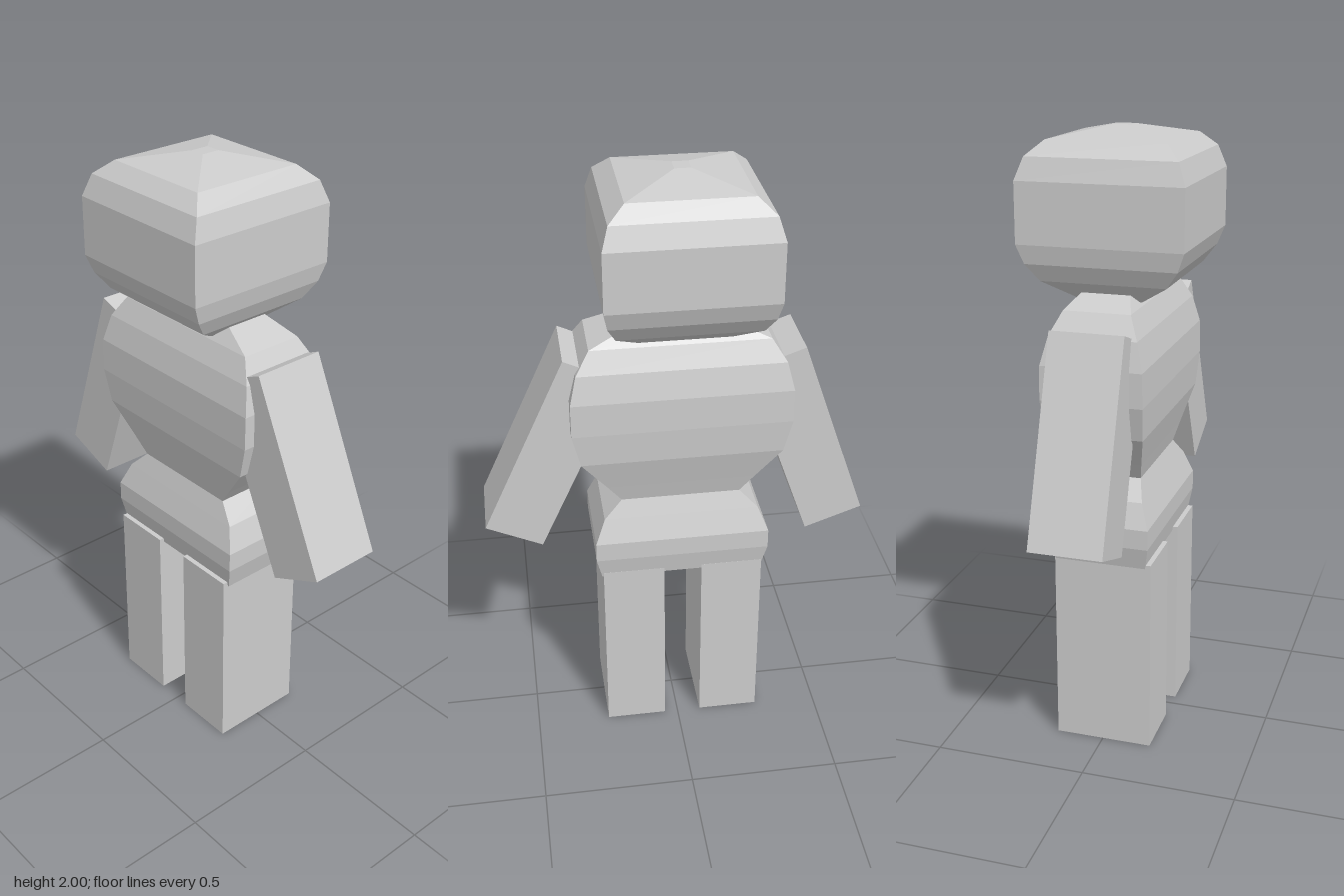
import * as THREE from 'three';

const material = new THREE.MeshStandardMaterial({ color: 0xcccccc, flatShading: true });

// Rectangular loft: rings of [y, half width, half depth], bottom to top
function loft(name, rings, x, z) {
  const n = rings.length - 1;
  const geo = new THREE.BoxGeometry(2, n, 2, 1, n, 1);
  const pos = geo.attributes.position;
  for (let i = 0; i < pos.count; i++) {
    const [y, w, d] = rings[Math.round(pos.getY(i) + n / 2)];
    pos.setXYZ(i, pos.getX(i) * w + x, y, pos.getZ(i) * d + z);
  }
  geo.computeVertexNormals();
  const mesh = new THREE.Mesh(geo, material);
  mesh.name = name;
  return mesh;
}

// Plain block, optionally tilted in the front plane
function block(name, size, position, tilt = 0) {
  const mesh = new THREE.Mesh(new THREE.BoxGeometry(...size), material);
  mesh.name = name;
  mesh.position.set(...position);
  mesh.rotation.z = tilt;
  return mesh;
}

export function createModel() {
  const model = new THREE.Group();
  model.name = 'figure';

  // Head with rounded jaw and low pointed crown
  model.add(loft('head', [
    [1.48, 0.145, 0.1], [1.545, 0.225, 0.2], [1.6, 0.252, 0.24], [1.66, 0.264, 0.263],
    [1.85, 0.264, 0.263], [1.92, 0.243, 0.238], [1.965, 0.19, 0.19], [2.0, 0.025, 0.03],
  ], -0.03, -0.002));

  // Body: hips, pinched waist, broad chest and sloping shoulders
  model.add(loft('body', [
    [0.64, 0.27, 0.15], [0.715, 0.288, 0.163], [0.78, 0.288, 0.163], [0.86, 0.255, 0.135],
    [0.92, 0.195, 0.113], [0.98, 0.24, 0.128], [1.09, 0.325, 0.157], [1.2, 0.352, 0.164],
    [1.31, 0.352, 0.162], [1.4, 0.33, 0.14], [1.47, 0.285, 0.107], [1.52, 0.165, 0.07],
  ], -0.015, -0.006));

  // Arms, hanging outwards
  model.add(block('leftArm', [0.2, 0.651, 0.245], [0.398, 1.108, -0.002], 0.436));
  model.add(block('rightArm', [0.2, 0.658, 0.235], [-0.425, 1.09, -0.002], -0.341));

  // Legs
  model.add(block('leftLeg', [0.205, 0.655, 0.322], [0.148, 0.3275, 0.002]));
  model.add(block('rightLeg', [0.205, 0.655, 0.322], [-0.183, 0.3275, 0.002]));

  return model;
}
